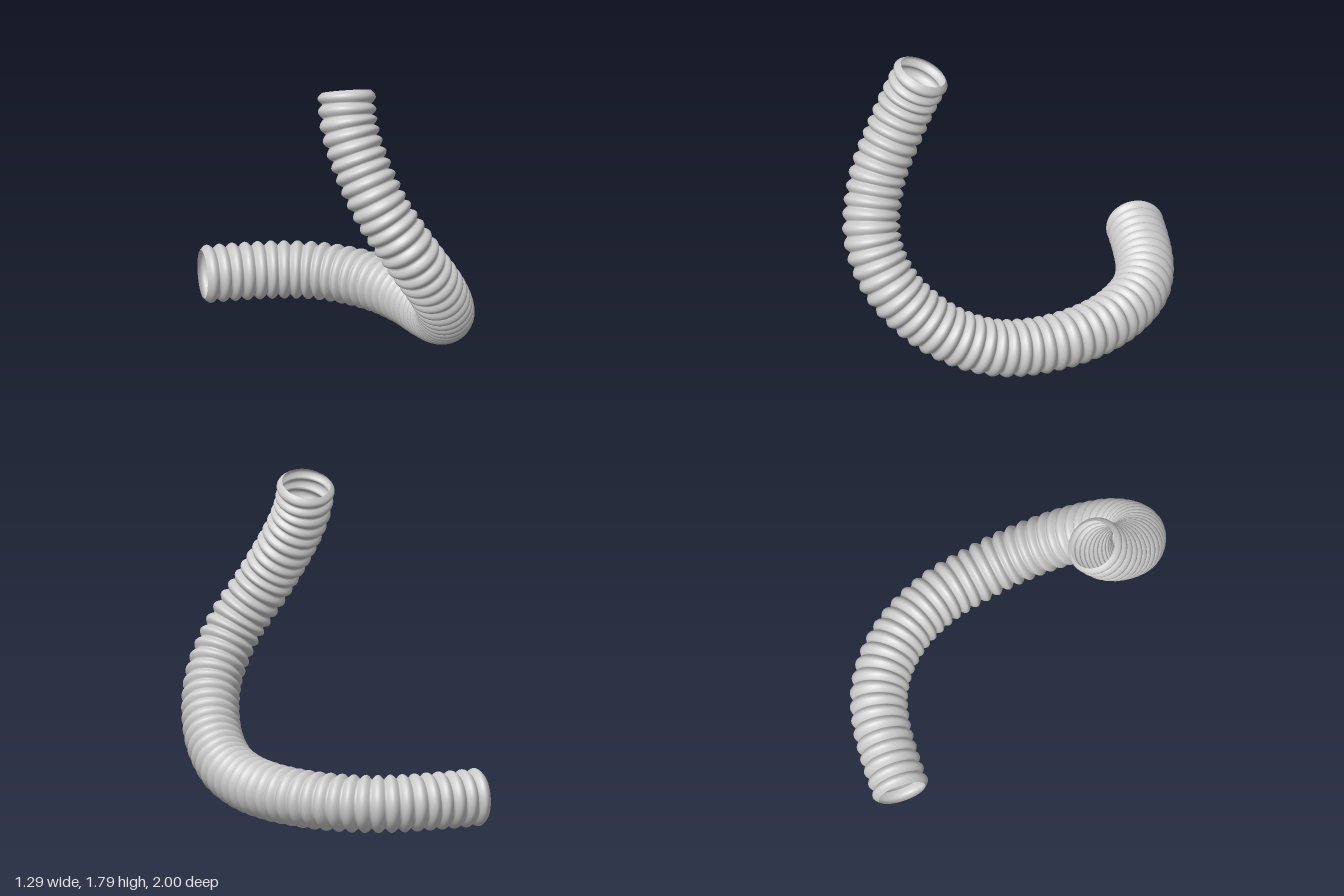
import * as THREE from 'three';

const RINGS = 53, STEPS = 10, SIDES = 48;
const OUTER = 0.165, INNER = 0.138;

// Centre line of the hose, from the lying end to the raised end
const path = new THREE.CatmullRomCurve3([
  [-0.645, 0.178, -0.838], [-0.42, 0.178, -0.833], [-0.2, 0.177, -0.81],
  [-0.02, 0.176, -0.755], [0.14, 0.175, -0.65], [0.29, 0.174, -0.48],
  [0.4, 0.175, -0.25], [0.455, 0.187, 0], [0.474, 0.235, 0.23],
  [0.44, 0.37, 0.5], [0.33, 0.6, 0.74], [0.17, 0.85, 0.833],
  [0, 1.13, 0.775], [-0.1, 1.4, 0.645], [-0.135, 1.58, 0.555], [-0.13, 1.745, 0.48],
].map(p => new THREE.Vector3(...p)), false, 'centripetal');

// Ribbed tube: circular cross-sections whose radius swells once per ring
function ribbedTube(curve) {
  const n = RINGS * STEPS;
  curve.arcLengthDivisions = 1000;
  const { normals, binormals } = curve.computeFrenetFrames(n, false);
  const positions = [], index = [], v = new THREE.Vector3();
  for (let i = 0; i <= n; i++) {
    const centre = curve.getPointAt(i / n);
    const bulge = Math.abs(Math.sin(Math.PI * i / STEPS));
    const r = INNER + (OUTER - INNER) * bulge;
    for (let j = 0; j < SIDES; j++) {
      const a = j / SIDES * Math.PI * 2;
      v.copy(centre)
        .addScaledVector(normals[i], r * Math.cos(a))
        .addScaledVector(binormals[i], r * Math.sin(a));
      positions.push(v.x, v.y, v.z);
      if (i === n) continue;
      const k = (j + 1) % SIDES, p = i * SIDES, q = p + SIDES;
      index.push(p + j, p + k, q + j, p + k, q + k, q + j);
    }
  }
  const g = new THREE.BufferGeometry();
  g.setAttribute('position', new THREE.Float32BufferAttribute(positions, 3));
  g.setIndex(index);
  g.computeVertexNormals();
  return g;
}

export function createModel() {
  const group = new THREE.Group();
  group.name = 'corrugatedHose';
  // Thin open wall, ribbed inside and out
  const material = new THREE.MeshStandardMaterial({ color: 0xcccccc, side: THREE.DoubleSide });
  const hose = new THREE.Mesh(ribbedTube(path), material);
  hose.name = 'hose';
  group.add(hose);
  return group;
}
